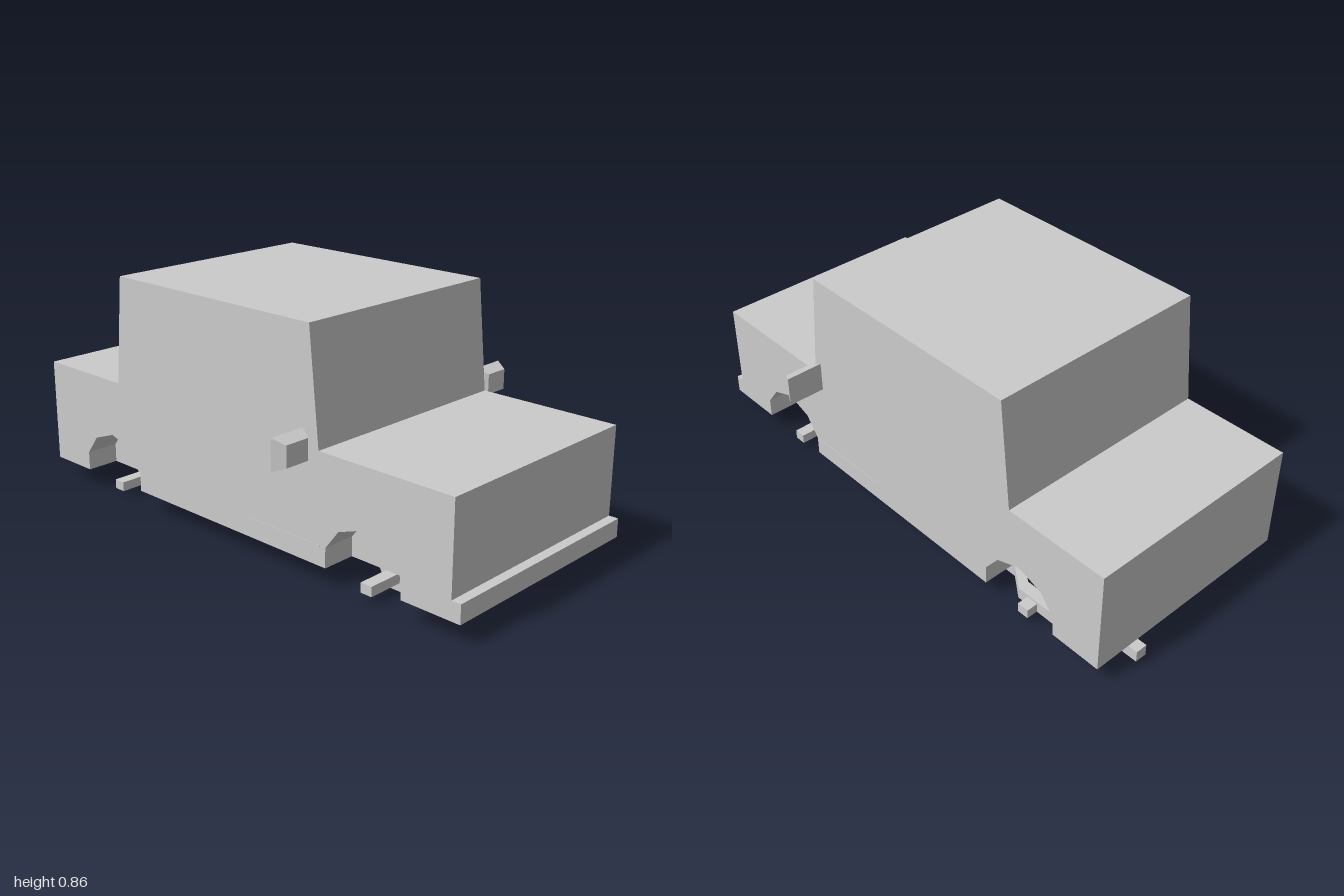
import * as THREE from 'three';

const material = new THREE.MeshStandardMaterial({ color: 0xcccccc, flatShading: true });

function add(parent, name, geometry, x = 0, y = 0, z = 0) {
  const mesh = new THREE.Mesh(geometry, material);
  mesh.name = name;
  mesh.position.set(x, y, z);
  parent.add(mesh);
  return mesh;
}

// Extrude a [z, y] outline across x, from x0 to x1
function across(points, x0, x1) {
  const shape = new THREE.Shape(points.map(([z, y]) => new THREE.Vector2(z, y)));
  const g = new THREE.ExtrudeGeometry(shape, { depth: x1 - x0, bevelEnabled: false });
  return g.rotateY(-Math.PI / 2).translate(x1, 0, 0);
}

// Extrude an [x, z] outline upwards, from y0 to y1
function upward(points, y0, y1) {
  const shape = new THREE.Shape(points.map(([x, z]) => new THREE.Vector2(x, -z)));
  const g = new THREE.ExtrudeGeometry(shape, { depth: y1 - y0, bevelEnabled: false });
  return g.rotateX(-Math.PI / 2).translate(0, y0, 0);
}

const FLOOR = 0.075, HALF = 0.425, WELL = 0.3;
const AXLES = { front: 0.62, rear: -0.615 };

// Wheel arch outline, listed from back to front
const arch = (z) => [
  [-0.155, FLOOR], [-0.155, 0.145], [-0.1, 0.217], [0, 0.253],
  [0.1, 0.217], [0.155, 0.145], [0.155, FLOOR],
].map(([dz, y]) => [z + dz, y]);

export function createModel() {
  const model = new THREE.Group();
  model.name = 'car';

  // Body: plain core, with outer slices that carry the wheel arches
  const upper = [
    [0.965, FLOOR], [0.965, 0.463], [0.435, 0.463], [0.395, 0.863],
    [-0.525, 0.863], [-0.565, 0.463], [-0.965, 0.463], [-0.965, FLOOR],
  ];
  add(model, 'bodyCore', across(upper, -WELL, WELL));
  const arched = [...upper, ...arch(AXLES.rear), ...arch(AXLES.front)];
  add(model, 'leftBodySide', across(arched, WELL, HALF));
  add(model, 'rightBodySide', across(arched, -HALF, -WELL));

  // Front bumper
  add(model, 'frontBumper', new THREE.BoxGeometry(HALF * 2, 0.067, 0.035), 0, 0.1085, 0.9825);

  for (const [side, s] of [['left', 1], ['right', -1]]) {
    // Mirror: a square block narrowing towards the front
    const g = new THREE.CylinderGeometry(0.47 * 0.72, 0.5, 1, 4, 1).rotateY(Math.PI / 4);
    g.rotateX(Math.PI / 2).scale(0.138 * Math.SQRT2, 0.11 * Math.SQRT2, 0.045);
    add(model, side + 'Mirror', g, s * 0.507, 0.475, 0.4025);
    // Fine trim line along the door
    add(model, side + 'DoorTrim', new THREE.BoxGeometry(0.003, 0.006, 0.32), s * HALF, 0.144, 0.28);
  }

  // Axles, each with a tapered housing under the floor
  for (const [end, z] of Object.entries(AXLES)) {
    const housing = [[0.07, FLOOR], [-0.07, FLOOR], [-0.033, 0], [0.033, 0]];
    add(model, end + 'AxleHousing', across(housing.map(([dz, y]) => [z + dz, y]), -0.27, 0.27));
    add(model, end + 'Axle', new THREE.BoxGeometry(0.81, 0.035, 0.045), 0, 0.0475, z);
  }

  // Gearbox tapering into the drive shaft
  const gearbox = across([[0.59, FLOOR], [0.39, FLOOR], [0.39, 0.03], [0.58, 0.008]], -1, 1);
  const p = gearbox.attributes.position;
  for (let i = 0; i < p.count; i++) p.setX(i, p.getX(i) * (p.getZ(i) > 0.5 ? 0.1 : 0.03));
  gearbox.computeVertexNormals();
  add(model, 'gearbox', gearbox);
  add(model, 'driveShaft', new THREE.BoxGeometry(0.06, 0.045, 0.96), 0, 0.0525, -0.09);

  // Exhaust pipe stepping around the rear axle housing
  const path = [[0.2, 0.57], [0.2, 0.17], [0.28, 0], [0.28, -0.47],
    [0.34, -0.55], [0.34, -0.8], [0.26, -0.88], [0.26, -1]];
  const w = 0.022;
  const outline = [...path.map(([x, z]) => [x - w, z]), ...path.map(([x, z]) => [x + w, z]).reverse()];
  add(model, 'exhaustPipe', upward(outline, 0.03, 0.073));

  return model;
}
